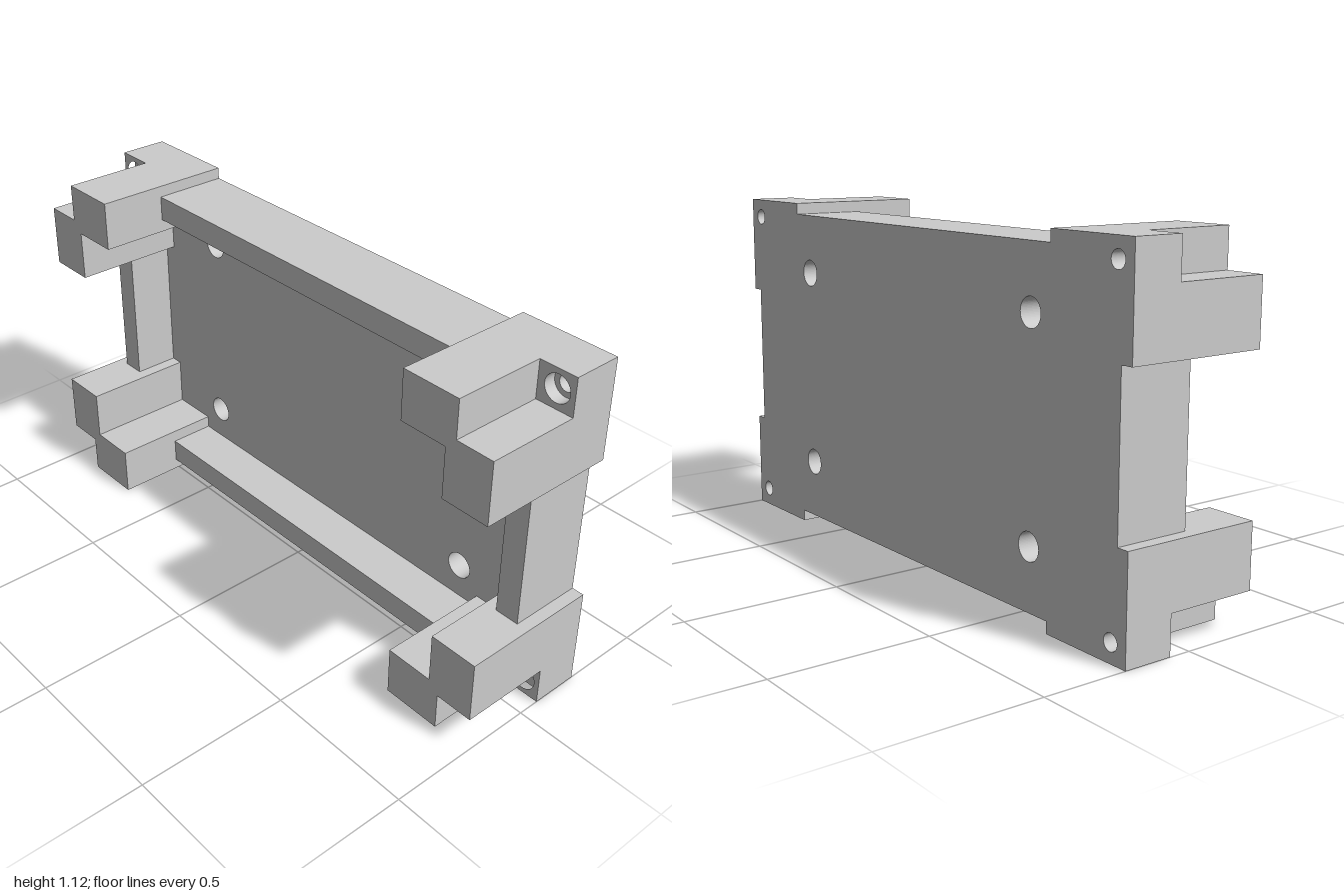
import * as THREE from 'three';

const MID = 0.56;                       // half height
const BACK = -0.23, FLOOR = -0.143, BORE = -0.11, NOTCH = -0.07, RIM = 0.012, FRONT = 0.23;
const SCREW = [0.94, 0.5], SCREW_R = 0.026, BORE_R = 0.043;
const material = new THREE.MeshStandardMaterial({ color: 0xcccccc });

function hole(shape, x, y, r) {
  shape.holes.push(new THREE.Path().absarc(x, y, r, 0, Math.PI * 2, true));
}

function polygon(points) {
  return new THREE.Shape(points.map(([x, y]) => new THREE.Vector2(x, y)));
}

// Extrude a front-facing outline between two depths
function slab(name, shape, z0, z1) {
  const geometry = new THREE.ExtrudeGeometry(shape, { depth: z1 - z0, bevelEnabled: false, curveSegments: 32 });
  geometry.translate(0, MID, z0);
  const mesh = new THREE.Mesh(geometry, material);
  mesh.name = name;
  return mesh;
}

function bar(name, x0, x1, y0, y1) {
  return slab(name, polygon([[x0, y0], [x1, y0], [x1, y1], [x0, y1]]), FLOOR, RIM);
}

export function createModel() {
  const group = new THREE.Group();
  group.name = 'mountingFrame';
  const quadrants = [[1, 1], [-1, 1], [-1, -1], [1, -1]];

  // Back plate: one quadrant outline mirrored round, with its holes
  const quarter = [[0.96, 0.237], [1, 0.237], [1, 0.56], [0.677, 0.56], [0.677, 0.523]];
  const outline = quadrants.flatMap(([sx, sy]) => {
    const pts = quarter.map(([x, y]) => [x * sx, y * sy]);
    return sx * sy > 0 ? pts : pts.reverse();
  });
  const plate = polygon(outline);
  for (const [sx, sy] of quadrants) {
    hole(plate, 0.596 * sx, 0.329 * sy, 0.044);
    hole(plate, SCREW[0] * sx, SCREW[1] * sy, SCREW_R);
  }
  group.add(slab('backPlate', plate, BACK, FLOOR));

  // Raised rim between the corner brackets
  group.add(
    bar('topRim', -0.677, 0.677, 0.442, 0.523),
    bar('bottomRim', -0.677, 0.677, -0.523, -0.442),
    bar('leftRim', 0.88, 0.96, -0.237, 0.237),
    bar('rightRim', -0.96, -0.88, -0.237, 0.237)
  );

  // L-shaped corner brackets with a counterbored screw hole in an outer notch
  const inner = [[0.677, 0.56], [0.677, 0.4], [0.838, 0.4], [0.838, 0.237], [1, 0.237]];
  const full = [...inner, [1, 0.56]];
  const notched = [...inner, [1, 0.438], [0.874, 0.438], [0.874, 0.56]];
  for (const [sx, sy] of quadrants) {
    const corner = new THREE.Group();
    corner.name = (sy > 0 ? 'top' : 'bottom') + (sx > 0 ? 'Left' : 'Right') + 'Corner';
    const mirrored = (pts) => polygon(pts.map(([x, y]) => [x * sx, y * sy]));
    const base = mirrored(full), seat = mirrored(full);
    hole(base, SCREW[0] * sx, SCREW[1] * sy, SCREW_R);
    hole(seat, SCREW[0] * sx, SCREW[1] * sy, BORE_R);
    corner.add(
      slab('cornerBase', base, FLOOR, BORE),
      slab('screwSeat', seat, BORE, NOTCH),
      slab('cornerArm', mirrored(notched), NOTCH, FRONT)
    );
    group.add(corner);
  }
  return group;
}
